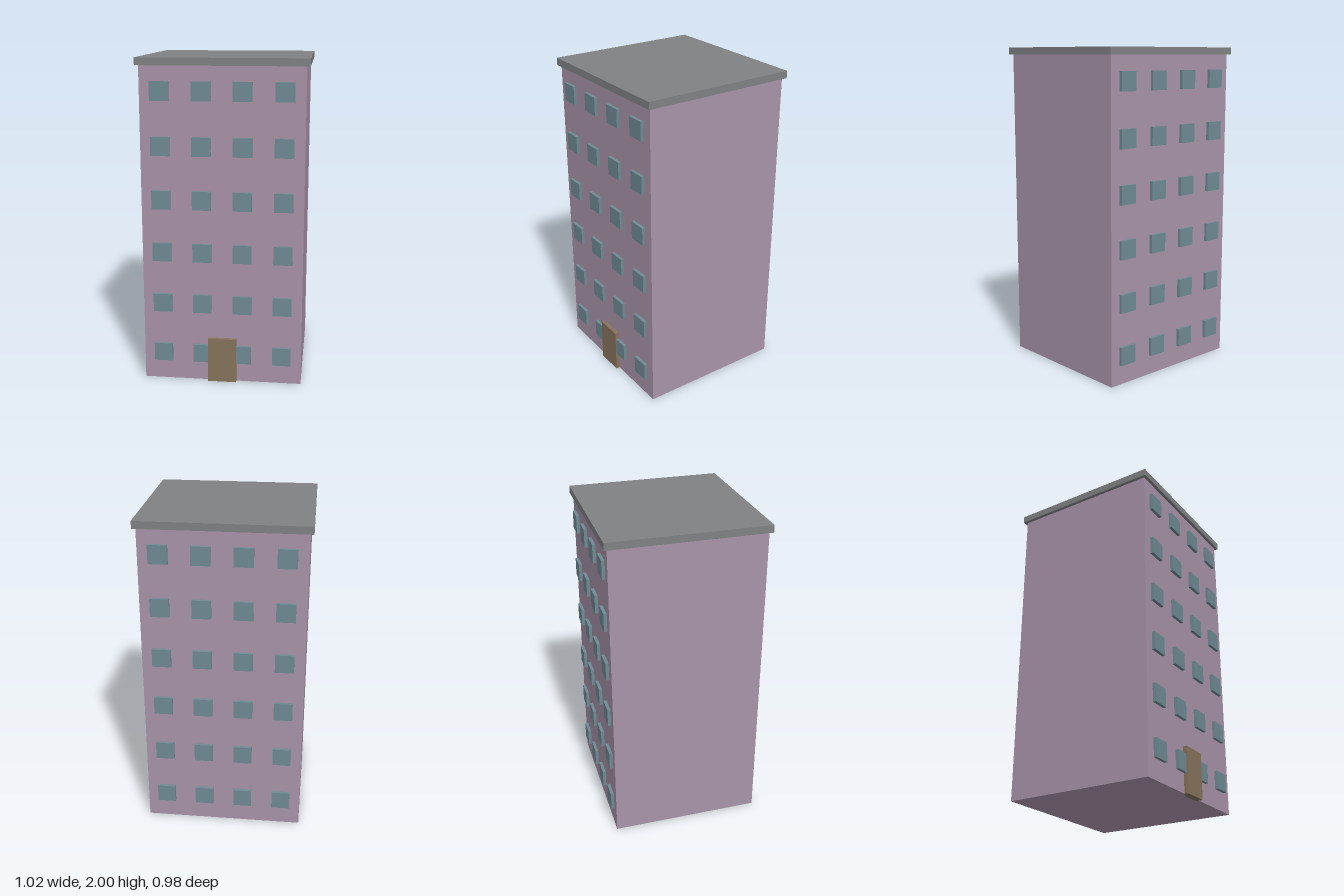
import * as THREE from 'three';

const material = (name, color) => {
  const m = new THREE.MeshStandardMaterial({ color });
  m.name = name;
  return m;
};

export function createModel() {
  const building = new THREE.Group();
  building.name = 'apartmentBlock';

  const wall = material('mauve wall', 0xa893a9);
  const roofGrey = material('roof grey', 0x7f8183);
  const glass = material('blue grey glass', 0x6f8a94);
  const wood = material('door brown', 0x86735c);

  const box = (name, w, h, d, x, y, z, mat, parent = building) => {
    const mesh = new THREE.Mesh(new THREE.BoxGeometry(w, h, d), mat);
    mesh.name = name;
    mesh.position.set(x, y, z);
    parent.add(mesh);
  };

  const midZ = -0.003;      // the door's projection shifts the block slightly back
  const halfDepth = 0.469;

  // Main block and overhanging flat roof
  box('walls', 0.98, 1.955, halfDepth * 2, 0, 1.955 / 2, midZ, wall);
  box('roof', 1.02, 0.045, 0.976, 0, 1.9775, midZ, roofGrey);

  // Six floors of four windows, front and back, half sunk into the wall
  for (const side of [1, -1]) {
    const windows = new THREE.Group();
    windows.name = side > 0 ? 'frontWindows' : 'backWindows';
    building.add(windows);
    for (let floor = 0; floor < 6; floor++) {
      for (let column = 0; column < 4; column++) {
        box('window', 0.114, 0.114, 0.039,
          (column - 1.5) * 0.246, 0.18 + floor * 0.3255, midZ + side * halfDepth, glass, windows);
      }
    }
  }

  // Entrance door, standing just proud of the windows
  box('door', 0.176, 0.283, 0.049, 0, 0.1415, midZ + halfDepth, wood);

  return building;
}
